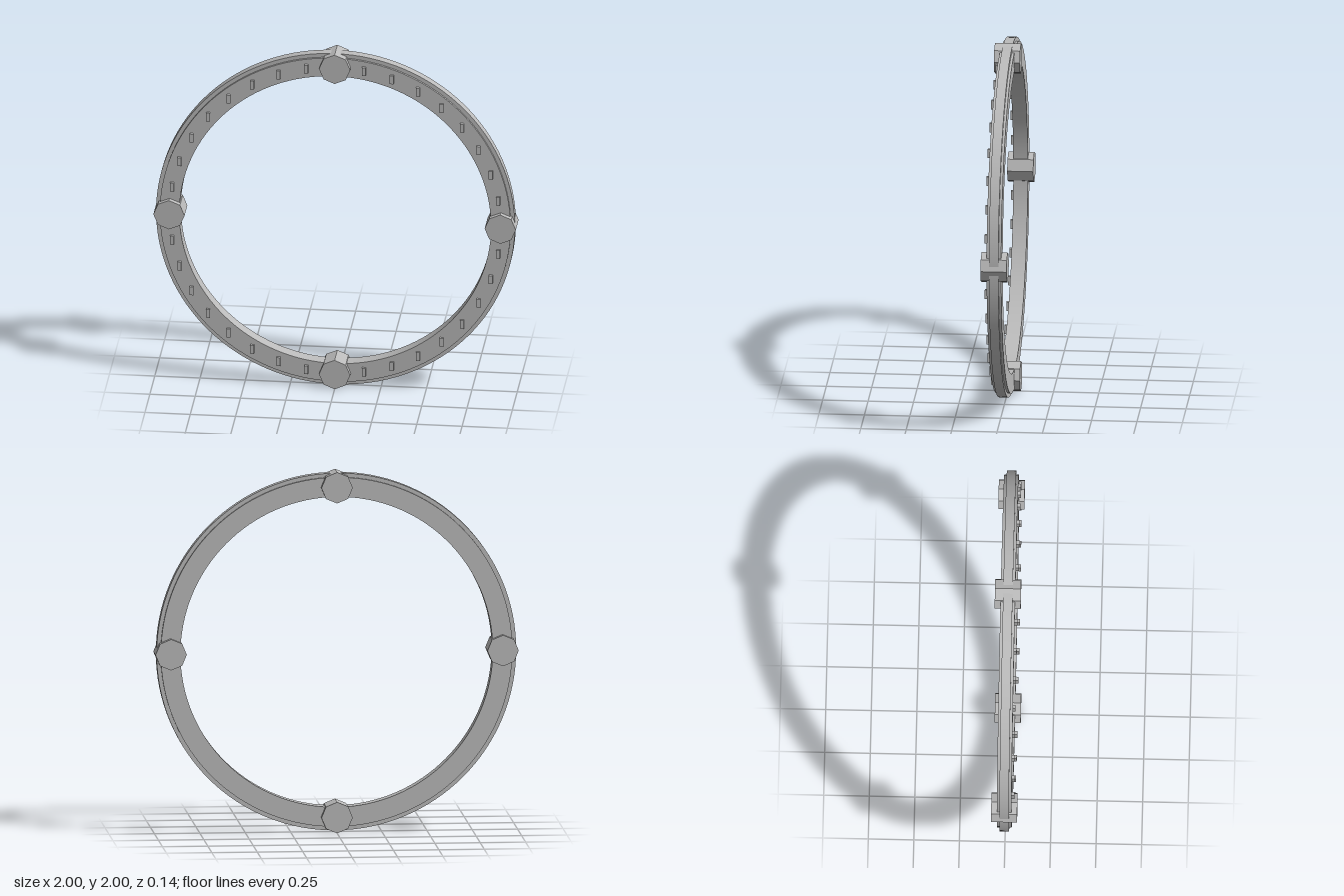
import * as THREE from 'three';
import { mergeGeometries } from 'three/addons/utils/BufferGeometryUtils.js';

const CENTRE_Y = 1;
const MID_RADIUS = 0.914;

// Ring of revolution about z; each profile edge is its own lathe so corners stay sharp
function ringGeometry(profile) {
  const bands = profile.map(([r, z], i) => {
    const [r2, z2] = profile[(i + 1) % profile.length];
    return new THREE.LatheGeometry([new THREE.Vector2(r, z), new THREE.Vector2(r2, z2)], 128);
  });
  return mergeGeometries(bands).rotateX(Math.PI / 2);
}

export function createModel() {
  const model = new THREE.Group();
  model.name = 'ringStation';
  const grey = new THREE.MeshStandardMaterial({ color: 0xbcbcbc });
  grey.name = 'light grey';

  const add = (name, geometry, x, y, z) => {
    const mesh = new THREE.Mesh(geometry, grey);
    mesh.name = name;
    mesh.position.set(x, y, z);
    model.add(mesh);
  };

  // Main ring with a narrower raised rail round its rim
  add('ring', ringGeometry([
    [0.86, -0.04], [0.968, -0.04], [0.968, -0.026], [0.99, -0.026],
    [0.99, 0.026], [0.968, 0.026], [0.968, 0.04], [0.86, 0.04],
  ]), 0, CENTRE_Y, 0);

  // Octagonal hubs at the quarters, upright blocks every ten degrees between them
  const hub = new THREE.CylinderGeometry(0.086, 0.086, 0.143, 8).toNonIndexed().rotateX(Math.PI / 2);
  hub.computeVertexNormals();
  const block = new THREE.BoxGeometry(0.021, 0.05, 0.03);
  for (let i = 0; i < 36; i++) {
    const a = (i * Math.PI) / 18;
    const x = MID_RADIUS * Math.cos(a);
    const y = CENTRE_Y + MID_RADIUS * Math.sin(a);
    if (i % 9 === 0) add('hub', hub, x, y, 0);
    else add('frontBlock', block, x, y, 0.04);
  }
  return model;
}
